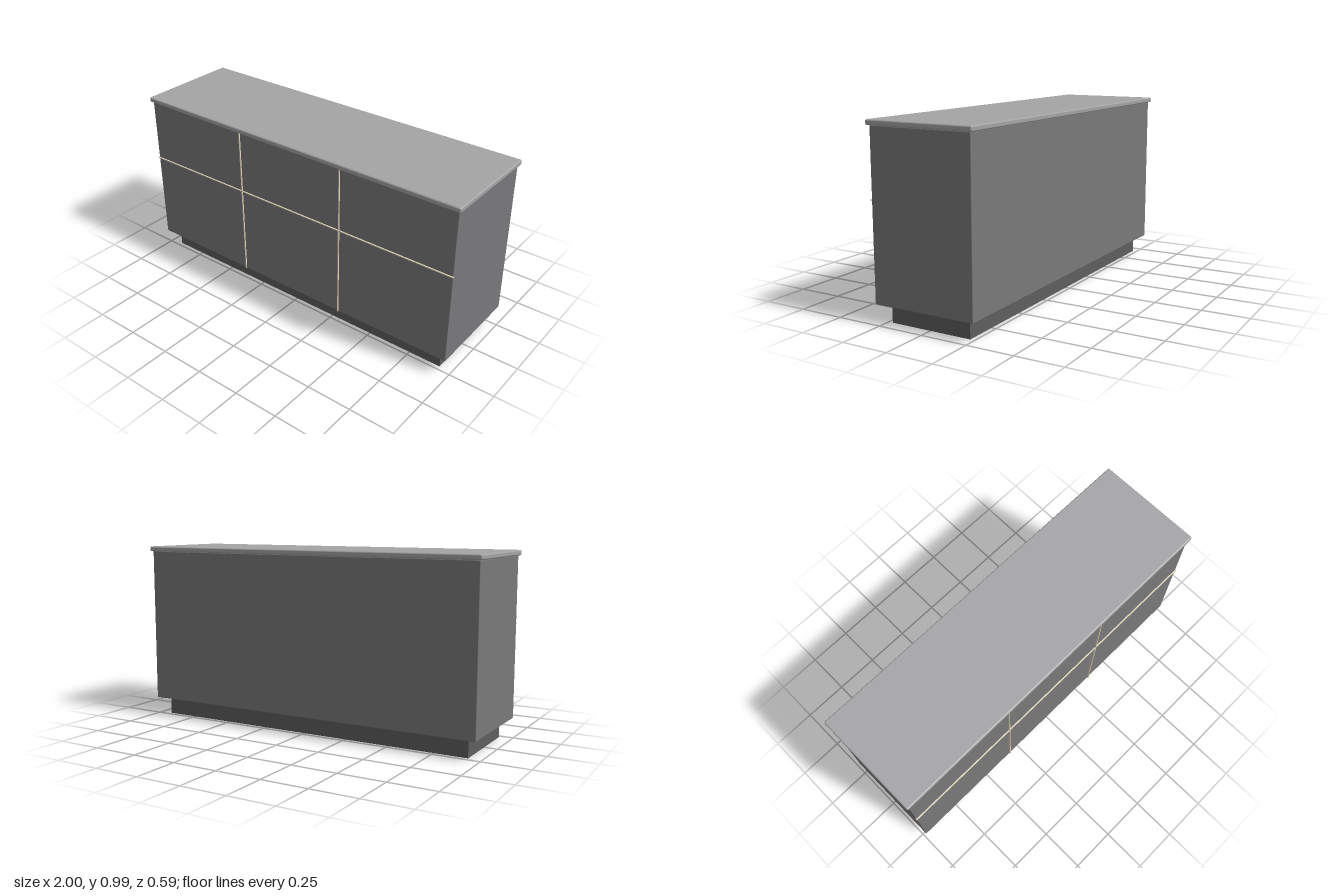
import * as THREE from 'three';
import { RoundedBoxGeometry } from 'three/addons/geometries/RoundedBoxGeometry.js';

export function createModel() {
  const group = new THREE.Group();
  const bodyGrey = new THREE.MeshStandardMaterial({ color: 0x79797b });
  const topGrey = new THREE.MeshStandardMaterial({ color: 0xa4a4a6 });
  const plinthGrey = new THREE.MeshStandardMaterial({ color: 0x5e5e5e });
  const trimColor = new THREE.MeshStandardMaterial({ color: 0xe0d6bc });

  function add(name, geometry, material, x, y, z) {
    const mesh = new THREE.Mesh(geometry, material);
    mesh.name = name;
    mesh.position.set(x, y, z);
    group.add(mesh);
  }

  // recessed base, cabinet and overhanging top
  add('plinth', new THREE.BoxGeometry(1.86, 0.1, 0.452), plinthGrey, 0, 0.05, 0);
  add('cabinetBody', new RoundedBoxGeometry(1.974, 0.858, 0.562, 2, 0.004), bodyGrey, 0, 0.529, 0);
  add('counterTop', new RoundedBoxGeometry(2, 0.028, 0.592, 3, 0.008), topGrey, 0, 0.972, 0);

  // thin trim dividing the front into three columns and two rows
  for (const side of [-1, 1]) {
    add(side > 0 ? 'leftVerticalTrim' : 'rightVerticalTrim',
      new THREE.BoxGeometry(0.005, 0.856, 0.01), trimColor, side * 0.328, 0.529, 0.283);
  }
  add('horizontalTrim', new THREE.BoxGeometry(1.978, 0.005, 0.01), trimColor, 0, 0.607, 0.283);

  return group;
}
